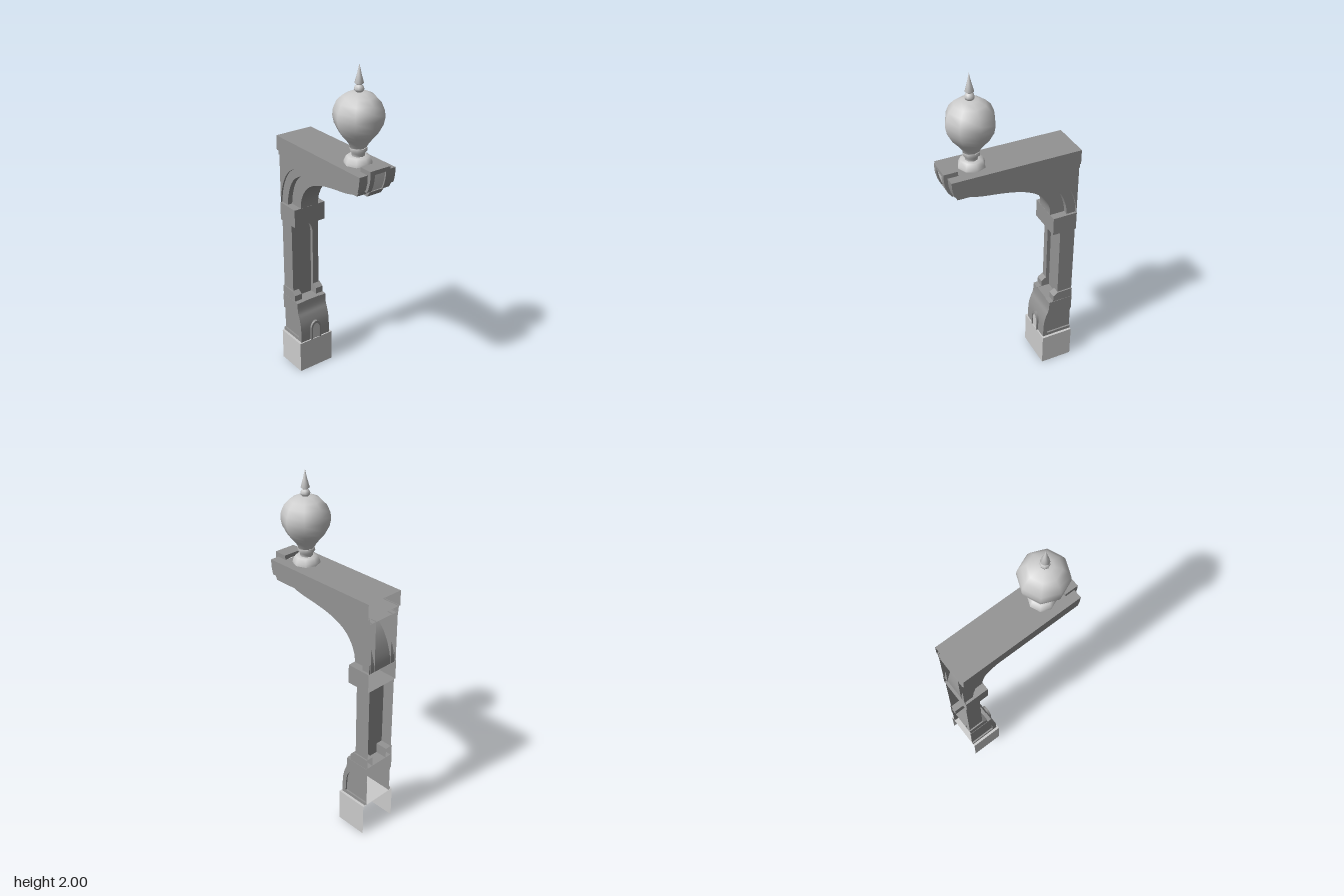
import * as THREE from 'three';
import { toCreasedNormals } from 'three/addons/utils/BufferGeometryUtils.js';

const BACK = -0.378;
const stone = new THREE.MeshStandardMaterial({ color: 0x939393, side: THREE.DoubleSide });
const pale = new THREE.MeshStandardMaterial({ color: 0xcccccc, side: THREE.DoubleSide });

const toShape = (pts) => new THREE.Shape(pts.map(([x, y]) => new THREE.Vector2(x, y)));
const smooth = (pts, n = 14) =>
  new THREE.SplineCurve(pts.map(([x, y]) => new THREE.Vector2(x, y))).getPoints(n).map((p) => [p.x, p.y]);
const rect = (x0, x1, y0, y1) => [[x0, y0], [x1, y0], [x1, y1], [x0, y1]];

// Removes every triangle whose three corners satisfy the test, leaving an open shell
function dropFaces(geometry, test) {
  const g = geometry.index ? geometry.toNonIndexed() : geometry;
  const p = g.attributes.position;
  const keep = [];
  for (let i = 0; i < p.count; i += 3) {
    if ([0, 1, 2].every((k) => test(p.getX(i + k), p.getY(i + k)))) continue;
    for (let k = 0; k < 3; k++) keep.push(p.getX(i + k), p.getY(i + k), p.getZ(i + k));
  }
  const out = new THREE.BufferGeometry();
  out.setAttribute('position', new THREE.Float32BufferAttribute(keep, 3));
  return out;
}

export function createModel() {
  const model = new THREE.Group();

  const add = (name, geometry, material = stone) => {
    const mesh = new THREE.Mesh(toCreasedNormals(geometry, 0.5), material);
    mesh.name = name;
    model.add(mesh);
    return mesh;
  };

  // Side profile extruded across z, left open against the wall
  const profile = (name, pts, z0, z1, material = stone, openAt = []) => {
    const g = new THREE.ExtrudeGeometry(toShape(pts), { depth: z1 - z0, bevelEnabled: false });
    g.translate(0, 0, z0);
    const near = (a, b) => Math.abs(a - b) < 1e-4;
    // openAt lists heights whose horizontal faces are left out
    let open = dropFaces(g, (x) => near(x, BACK));
    for (const h of openAt) open = dropFaces(open, (x, y) => near(y, h));
    open.computeVertexNormals();
    return add(name, open, material);
  };
  const centred = (name, pts, w, material, openAt) => profile(name, pts, -w, w, material, openAt);
  const pair = (name, pts, z0, z1, openAt) => {
    profile('left' + name, pts, z0, z1, stone, openAt);
    profile('right' + name, pts, -z1, -z0, stone, openAt);
  };

  // Front outline (z, y) extruded along x
  const frontPlate = (name, pts, x0, x1, material = stone) => {
    const g = new THREE.ExtrudeGeometry(toShape(pts), { depth: x1 - x0, bevelEnabled: false });
    g.rotateY(Math.PI / 2).translate(x0, 0, 0);
    return add(name, g, material);
  };
  // Slightly pointed arch line from its right foot over to its left foot
  const archLine = (w, foot, spring, top) => {
    const half = [];
    for (let i = 0; i <= 6; i++) {
      const a = (i / 6) * Math.PI / 2;
      half.push([w * Math.cos(a), spring + (top - spring) * Math.sin(a)]);
    }
    const mirrored = half.slice(0, -1).reverse().map(([x, y]) => [-x, y]);
    return [[w, foot], ...half, ...mirrored, [-w, foot]];
  };

  // Base block, open underneath
  centred('baseBlock', rect(BACK, -0.185, 0, 0.2), 0.118, pale, [0]);

  // Pedestal with curved front and sunken side panels
  const pedestalFront = smooth([[-0.193, 0.2], [-0.197, 0.3], [-0.21, 0.36], [-0.225, 0.4], [-0.23, 0.46]]);
  centred('pedestal', [[BACK, 0.2], ...pedestalFront, [BACK, 0.46]], 0.093, stone, [0.2]);
  const panelEdge = smooth([[-0.25, 0.365], [-0.235, 0.345], [-0.224, 0.3], [-0.22, 0.22]], 8);
  pair('PedestalFrame',
    [[BACK, 0.2], ...pedestalFront, [BACK, 0.46], [BACK, 0.365], ...panelEdge, [BACK, 0.22]], 0.093, 0.103);

  // Small arched niche on the pedestal front
  const nicheOuter = archLine(0.036, 0.2, 0.27, 0.322);
  const nicheInner = archLine(0.025, 0.2, 0.265, 0.307);
  frontPlate('nicheFrame', [...nicheOuter, ...nicheInner.reverse()], -0.24, -0.184);
  frontPlate('nichePanel', nicheInner, -0.24, -0.19, pale);

  // Stepped foot on both sides of the column recess
  pair('ColumnFoot',
    [[BACK, 0.46], [-0.227, 0.46], [-0.255, 0.462], [-0.255, 0.5], [-0.285, 0.52], [BACK, 0.52]],
    0.053, 0.101, [0.46]);

  // Column with a tall arched recess in its front
  centred('column', rect(BACK, -0.307, 0.46, 0.965), 0.093, stone, [0.46, 0.965]);
  frontPlate('columnFace',
    [[0.093, 0.46], [0.093, 0.965], [-0.093, 0.965], [-0.093, 0.46],
      ...archLine(0.053, 0.46, 0.87, 0.955).reverse()], -0.307, -0.285);

  // Capital
  centred('capital', rect(BACK, -0.234, 0.965, 1.075), 0.104);

  // Curved bracket in three stepped orders, narrowest lowest
  const orders = [
    ['bracketSpandrel', 0.1, [[-0.376, 1.075], [-0.368, 1.14], [-0.34, 1.22], [-0.295, 1.285], [-0.22, 1.335], [-0.09, 1.375]]],
    ['bracketMiddleOrder', 0.09, [[-0.322, 1.075], [-0.312, 1.14], [-0.28, 1.22], [-0.22, 1.28], [-0.1, 1.328], [0.08, 1.355], [0.28, 1.375]]],
    ['bracketInnerOrder', 0.06, [[-0.235, 1.075], [-0.228, 1.13], [-0.19, 1.2], [-0.13, 1.25], [-0.04, 1.285], [0.06, 1.305], [0.17, 1.32], [0.25, 1.34], [0.32, 1.375]]],
  ];
  for (const [name, w, pts] of orders) {
    centred(name, [[BACK, 1.075], ...smooth(pts, 20), [BACK, 1.375]], w, stone, [1.075, 1.375]);
  }

  // Beam: stepped moulding below, wide slab above
  centred('beamMoulding', [[BACK, 1.37], [0.325, 1.37], [0.343, 1.405], [BACK, 1.405]], 0.105, stone, [1.405]);
  centred('beamSlab', [[BACK, 1.4], [0.345, 1.4], [0.355, 1.44], [0.358, 1.485], [BACK, 1.485]], 0.116);

  // Keystone at the beam end: cheeks, cap and foot framing a pale panel
  const nose = smooth([[0.332, 1.358], [0.355, 1.39], [0.37, 1.43], [0.378, 1.47], [0.378, 1.51]], 8);
  const keystone = [[0.3, 1.358], ...nose, [0.3, 1.51]];
  pair('KeystoneCheek', [[0.3, 1.385], ...nose.filter(([, y]) => y > 1.385), [0.3, 1.51]], 0.036, 0.064);
  centred('keystoneCap', rect(0.3, 0.378, 1.487, 1.51), 0.036);
  centred('keystoneFoot', [[0.265, 1.356], [0.332, 1.356], [0.353, 1.387], [0.3, 1.387]], 0.045);
  centred('keystonePanel', keystone.map(([x, y]) => [x - 0.008, Math.min(y, 1.487)]), 0.036, pale);

  // Eight-sided finial, split where its edges are sharp
  const finial = new THREE.Group();
  finial.name = 'finial';
  finial.position.x = 0.2;
  model.add(finial);
  const turned = {
    finialFoot: [[0.075, 1.485], [0.073, 1.5], [0.06, 1.525], [0.035, 1.527]],
    finialNeck: [[0.034, 1.525], [0.035, 1.54], [0.048, 1.555], [0.046, 1.572]],
    finialCup: [[0.042, 1.572], [0.052, 1.59], [0.075, 1.62], [0.098, 1.645], [0.11, 1.667]],
    finialBall: [[0.108, 1.664], [0.125, 1.695], [0.133, 1.735], [0.129, 1.77], [0.112, 1.81], [0.085, 1.838], [0.045, 1.857], [0, 1.86]],
    finialBead: [[0.014, 1.855], [0.024, 1.865], [0.026, 1.875], [0.021, 1.888], [0.012, 1.895]],
    finialSpike: [[0.01, 1.892], [0.024, 1.903], [0.011, 1.95], [0, 2]],
  };
  for (const [name, pts] of Object.entries(turned)) {
    const mesh = new THREE.Mesh(
      new THREE.LatheGeometry(pts.map(([r, y]) => new THREE.Vector2(r, y)), 8), pale);
    mesh.name = name;
    finial.add(mesh);
  }
  return model;
}
